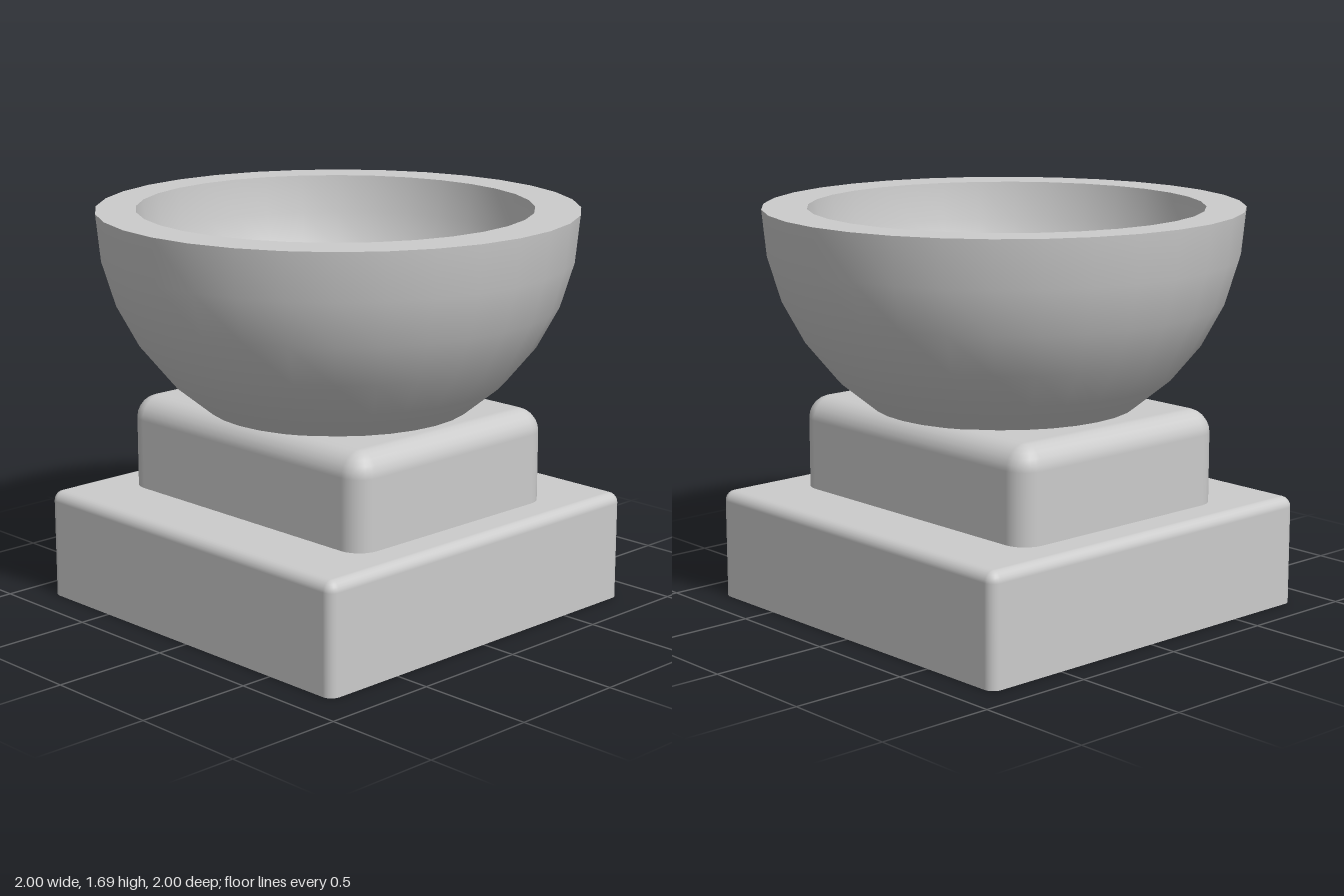
import * as THREE from 'three';

const material = new THREE.MeshStandardMaterial({ color: 0xcccccc, side: THREE.DoubleSide });
const CX = -0.016; // the plinth and the hollow sit slightly off the rim's centre
const STEPS = 6;

function mesh(name, geometry) {
  const m = new THREE.Mesh(geometry, material);
  m.name = name;
  return m;
}

// Skin through rounded rectangles { hx, hz, r, y, phi }; phi is the tilt of the normal
function loft(sections) {
  const position = [], normal = [], index = [];
  const ring = 4 * (STEPS + 1);
  for (const { hx, hz, r, y, phi } of sections) {
    for (let c = 0; c < 4; c++) {
      const sx = c === 0 || c === 3 ? 1 : -1, sz = c < 2 ? 1 : -1;
      for (let k = 0; k <= STEPS; k++) {
        const a = (c + k / STEPS) * Math.PI / 2;
        position.push(sx * (hx - r) + r * Math.cos(a), y, sz * (hz - r) + r * Math.sin(a));
        normal.push(Math.cos(phi) * Math.cos(a), Math.sin(phi), Math.cos(phi) * Math.sin(a));
      }
    }
  }
  for (let s = 0; s < sections.length - 1; s++) {
    for (let i = 0; i < ring; i++) {
      const a = s * ring + i, b = s * ring + (i + 1) % ring;
      index.push(a, a + ring, b, b, a + ring, b + ring);
    }
  }
  const g = new THREE.BufferGeometry();
  g.setAttribute('position', new THREE.Float32BufferAttribute(position, 3));
  g.setAttribute('normal', new THREE.Float32BufferAttribute(normal, 3));
  g.setIndex(index);
  return g;
}

// Box with rounded upright and top edges, open below
function roundedBlock(name, hx, hz, r, bottom, top) {
  const sections = [{ hx, hz, r, y: bottom, phi: 0 }];
  for (let k = 0; k <= STEPS; k++) {
    const phi = k / STEPS * Math.PI / 2, inset = r * (1 - Math.cos(phi));
    sections.push({ hx: hx - inset, hz: hz - inset, r: r - inset, y: top - r + r * Math.sin(phi), phi });
  }
  sections.push({ hx: 0, hz: 0, r: 0, y: top, phi: Math.PI / 2 });
  const block = mesh(name, loft(sections));
  block.position.x = CX;
  return block;
}

// Sphere profile from angle a to b below the equator
function arc(radius, y, a, b, n) {
  return Array.from({ length: n + 1 }, (_, i) => {
    const t = a + (b - a) * i / n;
    return new THREE.Vector2(Math.max(0, radius * Math.cos(t)), y - radius * Math.sin(t));
  });
}

export function createModel() {
  const group = new THREE.Group();
  const rimY = 1.69, inner = 0.823;

  // Hollow base, and a block whose open lower edge sinks through the base's top
  group.add(roundedBlock('base', 0.861, 0.861, 0.045, 0, 0.465));
  group.add(roundedBlock('upperBlock', 0.702, 0.556, 0.1, 0.425, 0.862));

  // Bowl: outer shell cut flat below, hemispherical hollow, flat rim
  const cut = 5 * Math.PI / 16;
  group.add(mesh('bowlOuter', new THREE.LatheGeometry(arc(1, rimY, cut, 0, 5), 32)));
  const hollow = mesh('bowlHollow', new THREE.LatheGeometry(arc(inner, rimY, 0, Math.PI / 2, 8), 32));
  hollow.position.x = CX;
  group.add(hollow);

  // A full arc gets two sides per curve segment, so 16 gives 32 sides
  const rimShape = new THREE.Shape().absarc(0, 0, 1, 0, Math.PI * 2);
  rimShape.holes.push(new THREE.Path().absarc(CX, 0, inner, 0, Math.PI * 2));
  const rim = mesh('bowlRim', new THREE.ShapeGeometry(rimShape, 16));
  rim.rotation.x = -Math.PI / 2;
  rim.position.y = rimY;
  group.add(rim);

  const foot = mesh('bowlFoot', new THREE.CircleGeometry(Math.cos(cut), 32));
  foot.rotation.x = Math.PI / 2;
  foot.position.y = rimY - Math.sin(cut);
  group.add(foot);

  return group;
}
